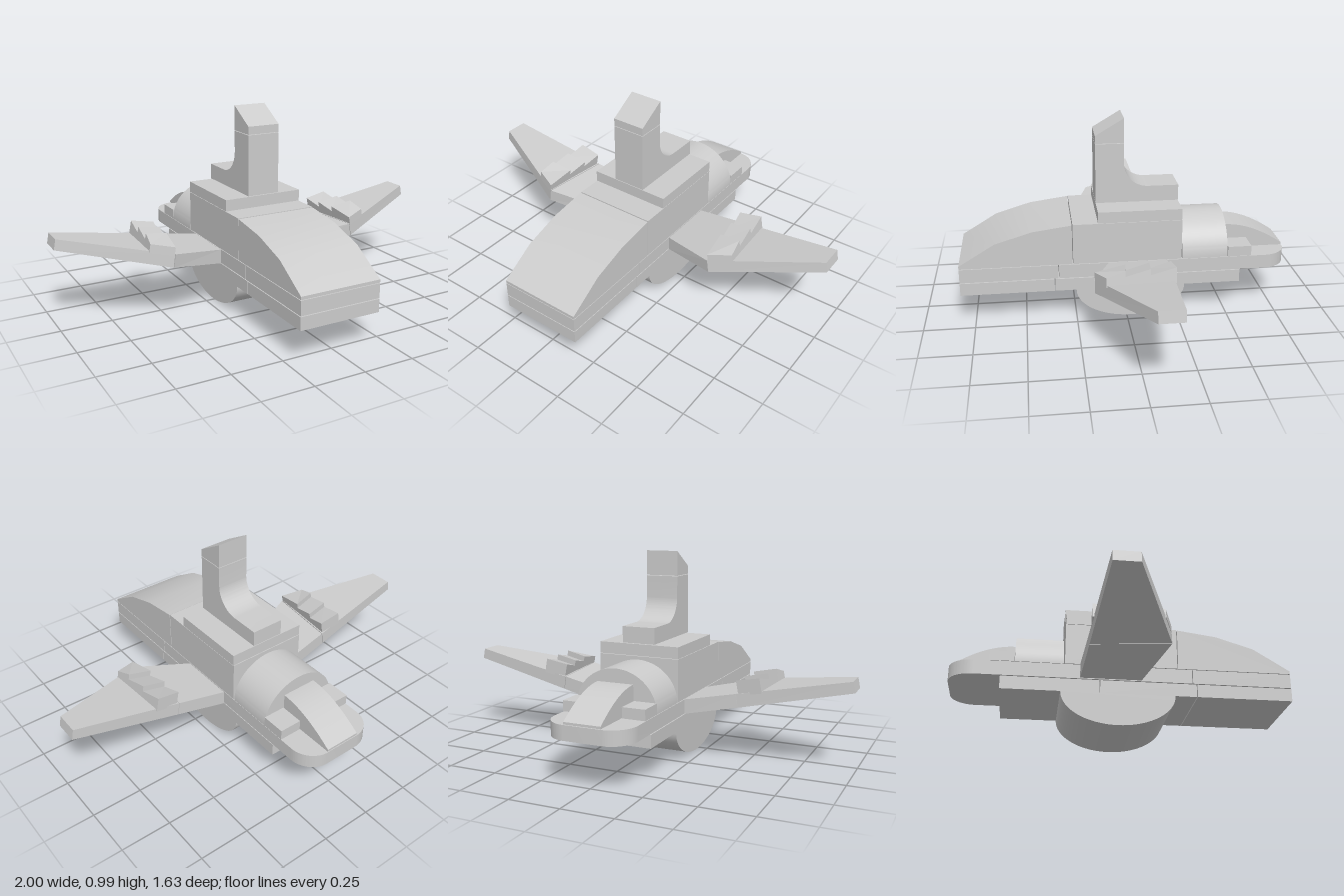
import * as THREE from 'three';
import { toCreasedNormals } from 'three/addons/utils/BufferGeometryUtils.js';

const HALF = 0.205; // half width of the fuselage
const material = new THREE.MeshStandardMaterial({ color: 0xcccccc });

export function createModel() {
  const model = new THREE.Group();
  model.name = 'spaceship';

  const add = (name, geometry) => {
    const mesh = new THREE.Mesh(geometry, material);
    mesh.name = name;
    model.add(mesh);
  };

  // Box given by its limits on each axis
  const block = (name, x0, x1, y0, y1, z0, z1) => {
    const g = new THREE.BoxGeometry(x1 - x0, y1 - y0, z1 - z0);
    add(name, g.translate((x0 + x1) / 2, (y0 + y1) / 2, (z0 + z1) / 2));
  };

  // Side profile in (z, y), extruded across x
  const across = (name, shape, half) => {
    const g = new THREE.ExtrudeGeometry(shape, { depth: half * 2, bevelEnabled: false, curveSegments: 20 });
    g.rotateY(-Math.PI / 2).translate(half, 0, 0);
    add(name, toCreasedNormals(g, 0.4));
  };
  const polygon = (points) => new THREE.Shape(points.map(([a, b]) => new THREE.Vector2(a, b)));

  // Six-sided solid; corners run inner front, outer front, outer back, inner back
  const solid = (name, bottom, top, side) => {
    const g = new THREE.BoxGeometry(1, 1, 1).toNonIndexed();
    const p = g.attributes.position;
    for (let i = 0; i < p.count; i++) {
      const outer = p.getX(i) * side > 0;
      const front = p.getZ(i) > 0;
      const corner = (p.getY(i) > 0 ? top : bottom)[front ? (outer ? 1 : 0) : (outer ? 2 : 3)];
      p.setXYZ(i, corner[0] * side, corner[1], corner[2]);
    }
    g.computeVertexNormals();
    add(name, g);
  };

  // Lower and upper deck plates
  block('lowerFrontPlate', -HALF, HALF, 0.155, 0.218, 0.357, 0.815);
  block('lowerMiddlePlate', -HALF, HALF, 0.155, 0.218, -0.105, 0.353);
  block('lowerRearPlate', -HALF, HALF, 0.155, 0.218, -0.57, -0.109);
  block('upperFrontPlate', -HALF, HALF, 0.222, 0.292, 0.337, 0.815);

  // Long upper plate with a rounded stern; shape y is -z
  const deck = new THREE.Shape();
  deck.moveTo(-HALF, -0.333);
  deck.lineTo(HALF, -0.333);
  deck.lineTo(HALF, 0.695);
  deck.absellipse(0.09, 0.695, 0.115, 0.12, 0, Math.PI / 2);
  deck.lineTo(-0.09, 0.815);
  deck.absellipse(-0.09, 0.695, 0.115, 0.12, Math.PI / 2, Math.PI);
  const deckGeometry = new THREE.ExtrudeGeometry(deck, { depth: 0.07, bevelEnabled: false, curveSegments: 16 });
  deckGeometry.rotateX(-Math.PI / 2).translate(0, 0.222, 0);
  add('roundedRearPlate', toCreasedNormals(deckGeometry, 0.4));

  // Belly pod
  const belly = new THREE.Shape();
  belly.absellipse(-0.02, 0.155, 0.27, 0.155, Math.PI, Math.PI * 2);
  across('bellyPod', belly, HALF);

  // Nose and cabin
  across('noseCanopy', polygon([
    [0.815, 0.295], [0.815, 0.31], [0.64, 0.417], [0.46, 0.472], [0.267, 0.498], [0.267, 0.295],
  ]), HALF);
  block('cabin', -HALF, HALF, 0.295, 0.5, -0.272, 0.263);
  block('finBasePlate', -HALF, HALF, 0.502, 0.558, -0.27, 0.14);

  // Upright fin with a curved foot and a sloping cap
  const fin = new THREE.Shape();
  fin.moveTo(0.14, 0.561);
  fin.lineTo(0.14, 0.86);
  fin.lineTo(0, 0.86);
  fin.lineTo(0, 0.76);
  fin.absellipse(-0.12, 0.76, 0.12, 0.12, 0, -Math.PI / 2, true);
  fin.lineTo(-0.27, 0.64);
  fin.lineTo(-0.27, 0.561);
  across('fin', fin, 0.083);
  across('finCap', polygon([[0.14, 0.863], [0.14, 0.902], [0, 0.985], [0, 0.863]]), 0.083);

  // Engine arch
  const arch = new THREE.Shape();
  arch.moveTo(HALF, 0.294);
  arch.absellipse(0, 0.294, HALF, 0.191, 0, Math.PI);
  const archGeometry = new THREE.ExtrudeGeometry(arch, { depth: 0.228, bevelEnabled: false, curveSegments: 32 });
  add('engineArch', toCreasedNormals(archGeometry.translate(0, 0, -0.505), 0.4));

  // Stern cowl between two low blocks
  const cowl = new THREE.Shape();
  cowl.moveTo(-0.508, 0.294);
  cowl.lineTo(-0.508, 0.42);
  cowl.bezierCurveTo(-0.62, 0.42, -0.72, 0.37, -0.813, 0.305);
  cowl.lineTo(-0.813, 0.294);
  across('sternCowl', cowl, 0.09);

  // Top surface of the wing, and a point at a height square to it
  const wingTop = (x) => 0.295 + (x - 0.21) * 0.187;
  const onWing = (x, z, h) => [x - 0.184 * h, wingTop(x) + 0.983 * h, z];
  const underWing = (x, z) => [x + 0.01 * (x > 0.3 ? 1 : 0), wingTop(x) - 0.071 + (x - 0.21) * 0.025, z];
  const lerp = THREE.MathUtils.lerp;

  for (const side of [1, -1]) {
    const name = side > 0 ? 'left' : 'right';
    block(name + 'SternBlock', ...(side > 0 ? [0.092, HALF] : [-HALF, -0.092]), 0.294, 0.345, -0.625, -0.507);

    // Swept wing in two panels
    const panel = (part, plan) => solid(name + part,
      plan.map(([x, z]) => underWing(x, z)), plan.map(([x, z]) => onWing(x, z, 0)), side);
    panel('InnerWing', [[0.21, 0.09], [0.49, 0.183], [0.457, -0.18], [0.21, -0.2]]);
    panel('OuterWing', [[0.493, 0.183], [0.99, -0.025], [0.99, -0.14], [0.46, -0.18]]);

    // Three stepped vents, each rising to the rear
    const stations = [[0.183, 0.14], [0.04, 0.055], [-0.07, -0.06], [-0.172, -0.178]];
    for (let i = 0; i < 3; i++) {
      const cornersAt = (j, h) => {
        const [zi, zo] = stations[j];
        return [onWing(lerp(0.495, 0.467, j / 3), zi, h), onWing(lerp(0.603, 0.582, j / 3), zo, h)];
      };
      const ring = (hFront, hBack) => {
        const f = cornersAt(i, hFront), b = cornersAt(i + 1, hBack);
        return [f[0], f[1], b[1], b[0]];
      };
      solid(name + 'WingVent' + (i + 1), ring(-0.01, -0.01), ring(0.034, 0.062), side);
    }
  }
  return model;
}
